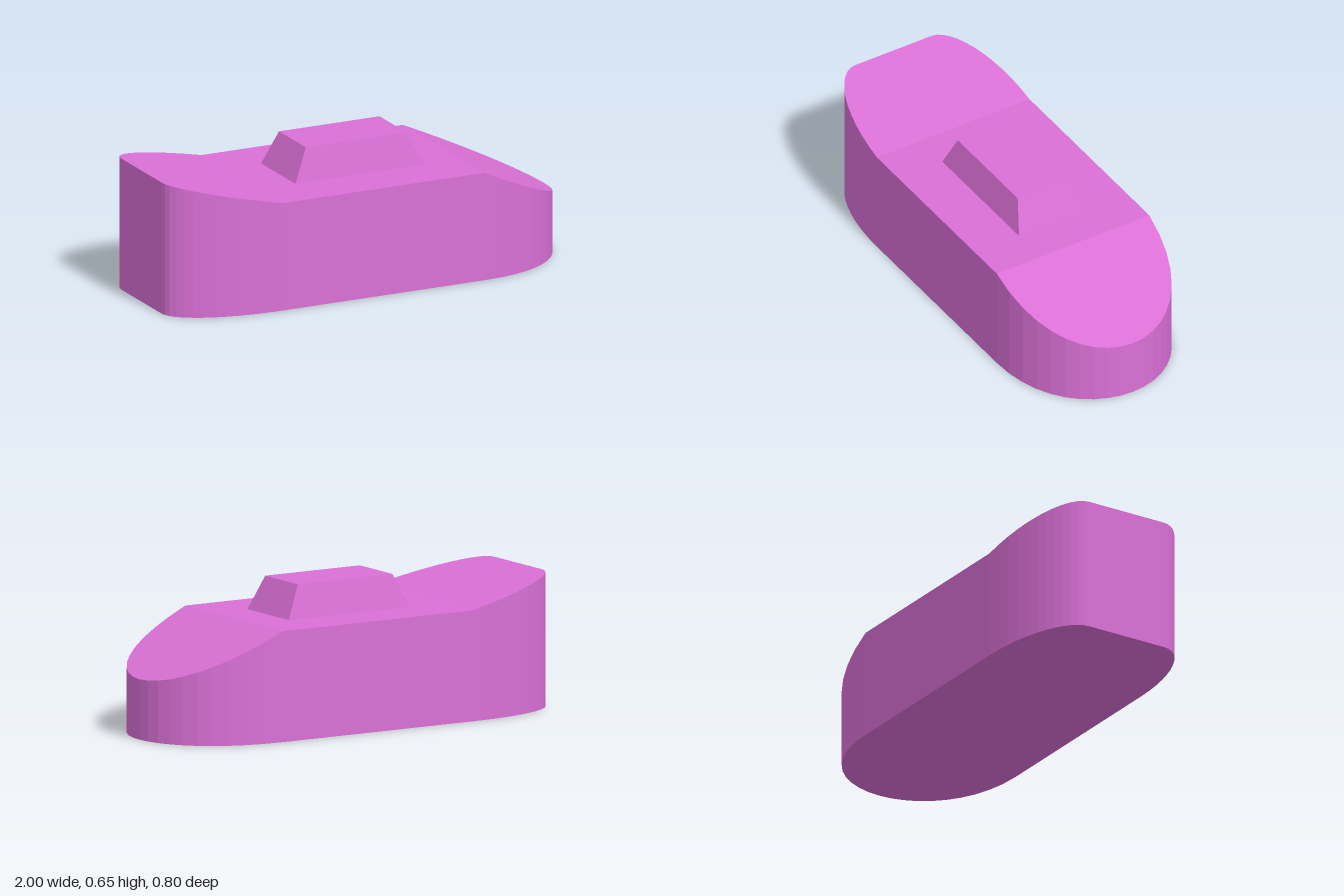
import * as THREE from 'three';

const paint = new THREE.MeshStandardMaterial({ color: 0xda70d6, flatShading: true });

// Deck height: raised stern, flat middle, sloping bow
function deckHeight(x) {
  if (x < -0.5) return 0.5 + (-0.5 - x) * 0.22;
  if (x > 0.5) return 0.5 - (x - 0.5) * 0.456;
  return 0.5;
}

// Half of the plan outline from stern to bow, as (x, half width)
function planOutline() {
  const v = (x, z) => new THREE.Vector2(x, z);
  const stern = new THREE.CubicBezierCurve(v(-1, 0.2), v(-1, 0.3), v(-0.8, 0.4), v(-0.5, 0.4));
  const bow = new THREE.CubicBezierCurve(v(0.5, 0.4), v(1.1667, 0.4), v(1.1667, -0.4), v(0.5, -0.4));
  const points = stern.getPoints(12);
  // only the first half of the bow curve; the other half is its mirror image
  for (let i = 0; i <= 10; i++) points.push(bow.getPoint(0.499 * i / 10));
  return points;
}

// Hull lofted through rectangular cross-sections
function hullGeometry() {
  const stations = planOutline();
  const positions = [];
  const index = [];
  for (const { x, y: w } of stations) {
    const h = deckHeight(x);
    positions.push(x, h, w, x, 0, w, x, 0, -w, x, h, -w);
  }
  const last = stations.length - 1;
  for (let i = 0; i < last; i++) {
    for (let j = 0; j < 4; j++) {
      const a = i * 4 + j;
      const b = i * 4 + (j + 1) % 4;
      index.push(a, b, b + 4, a, b + 4, a + 4);
    }
  }
  // transom and bow tip
  const e = last * 4;
  index.push(0, 3, 2, 0, 2, 1, e, e + 1, e + 2, e, e + 2, e + 3);
  const geometry = new THREE.BufferGeometry();
  geometry.setAttribute('position', new THREE.Float32BufferAttribute(positions, 3));
  geometry.setIndex(index);
  const flat = geometry.toNonIndexed();
  flat.computeVertexNormals();
  return flat;
}

// Box with its top drawn in to make sloping walls
function cabinGeometry() {
  const geometry = new THREE.BoxGeometry(0.64, 0.15, 0.34).toNonIndexed();
  const p = geometry.attributes.position;
  for (let i = 0; i < p.count; i++) {
    if (p.getY(i) > 0) {
      p.setX(i, Math.sign(p.getX(i)) * 0.25);
      p.setZ(i, Math.sign(p.getZ(i)) * 0.133);
    }
  }
  geometry.computeVertexNormals();
  return geometry;
}

export function createModel() {
  const boat = new THREE.Group();
  boat.name = 'boat';

  const hull = new THREE.Mesh(hullGeometry(), paint);
  hull.name = 'hull';

  const cabin = new THREE.Mesh(cabinGeometry(), paint);
  cabin.name = 'cabin';
  cabin.position.y = 0.575;

  boat.add(hull, cabin);
  return boat;
}
